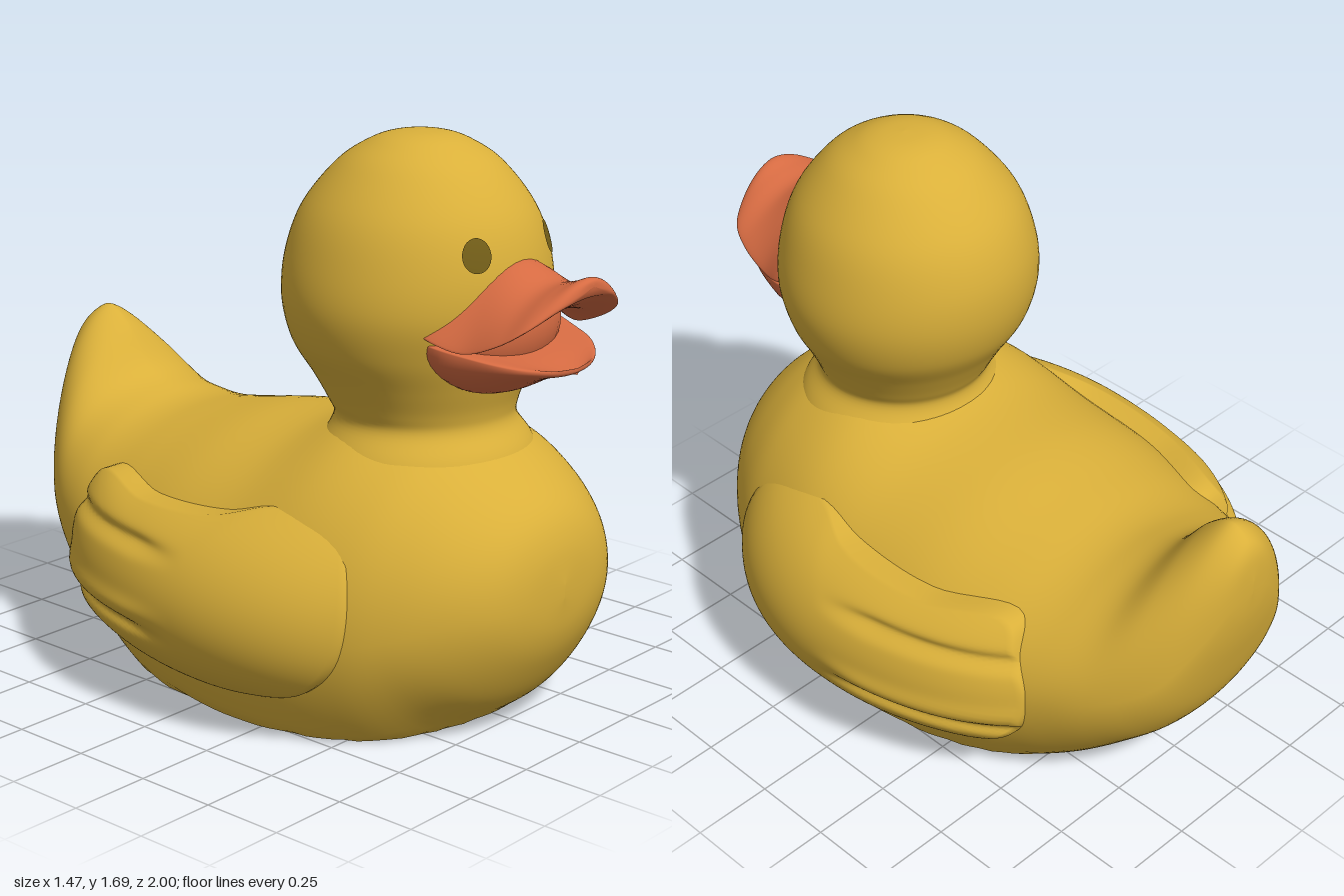
import * as THREE from 'three';

const yellow = new THREE.MeshStandardMaterial({ color: 0xdab03a });
yellow.name = 'yellow';
const orange = new THREE.MeshStandardMaterial({ color: 0xd66b42 });
orange.name = 'orange';
const olive = new THREE.MeshStandardMaterial({ color: 0x735e18 });
olive.name = 'dark olive';

// Smooth interpolation through table rows; t runs from 0 to rows - 1.
function spline(rows, t) {
  const i = Math.min(Math.max(Math.floor(t), 0), rows.length - 2), f = t - i;
  const row = (k) => rows[Math.min(Math.max(k, 0), rows.length - 1)];
  const [a, b, c, d] = [row(i - 1), row(i), row(i + 1), row(i + 2)];
  return b.map((v, k) => v + 0.5 * f * (c[k] - a[k]
    + f * (2 * a[k] - 5 * v + 4 * c[k] - d[k] + f * (3 * (v - c[k]) + d[k] - a[k]))));
}

// Skin of closed rings: point(v, angle) gives [x, y, z]; faces are turned outward.
function skin(name, material, steps, sides, point) {
  const pos = [], index = [];
  for (let i = 0; i <= steps; i++)
    for (let j = 0; j < sides; j++) pos.push(...point(i / steps, (j / sides) * Math.PI * 2));
  for (let i = 0; i < steps; i++)
    for (let j = 0; j < sides; j++) {
      const k = (j + 1) % sides, a = i * sides + j, b = i * sides + k;
      index.push(a, b, a + sides, b, b + sides, a + sides);
    }
  const p = (n) => new THREE.Vector3().fromArray(pos, n * 3);
  let volume = 0;
  for (let i = 0; i < index.length; i += 3)
    volume += p(index[i]).dot(p(index[i + 1]).cross(p(index[i + 2])));
  if (volume < 0) index.reverse();
  const g = new THREE.BufferGeometry();
  g.setAttribute('position', new THREE.Float32BufferAttribute(pos, 3));
  g.setIndex(index);
  g.computeVertexNormals();
  const mesh = new THREE.Mesh(g, material);
  mesh.name = name;
  return mesh;
}

// Body and tail: z, bottom, top, height of widest point, half width, taper of upper part
const BODY = [
  [0.935, 0.42, 0.46, 0.44, 0, 1], [0.92, 0.31, 0.57, 0.43, 0.16, 1],
  [0.88, 0.21, 0.66, 0.42, 0.28, 1], [0.8, 0.09, 0.74, 0.4, 0.39, 1],
  [0.69, 0, 0.82, 0.36, 0.485, 1], [0.55, -0.15, 0.88, 0.33, 0.56, 1],
  [0.35, -0.28, 0.9, 0.31, 0.605, 1], [0.1, -0.3, 0.82, 0.31, 0.62, 1],
  [-0.15, -0.25, 0.79, 0.32, 0.605, 1], [-0.35, -0.18, 0.755, 0.34, 0.56, 1],
  [-0.5, -0.08, 0.735, 0.36, 0.51, 1], [-0.61, 0, 0.75, 0.39, 0.465, 1.1],
  [-0.72, 0.1, 0.8, 0.42, 0.41, 1.25], [-0.82, 0.2, 0.92, 0.46, 0.34, 1.4],
  [-0.9, 0.33, 0.975, 0.52, 0.26, 1.4], [-0.96, 0.52, 0.95, 0.65, 0.16, 1.2],
  [-0.99, 0.66, 0.9, 0.75, 0.08, 1], [-1, 0.77, 0.81, 0.79, 0, 1],
];
function bodyPoint(v, angle) {
  const [z, bottom, top, mid, w, taper] = spline(BODY, v * (BODY.length - 1));
  const c = Math.cos(angle), s = Math.sin(angle);
  const x = w * Math.sign(c) * Math.abs(c) ** (s > 0 ? taper : 1);
  return [x, Math.max(0.004, mid + s * (s > 0 ? top - mid : mid - bottom)), z];
}

// Neck and head: y, centre z, depth radius, width radius
const HEAD = [
  [0.7, 0.4, 0.36, 0.38], [0.8, 0.425, 0.3, 0.32], [0.87, 0.42, 0.265, 0.268],
  [0.92, 0.41, 0.275, 0.28], [1, 0.4, 0.31, 0.32], [1.1, 0.385, 0.355, 0.375],
  [1.22, 0.385, 0.385, 0.4], [1.35, 0.385, 0.38, 0.38], [1.48, 0.387, 0.335, 0.33],
  [1.6, 0.39, 0.24, 0.235], [1.66, 0.39, 0.15, 0.15], [1.685, 0.39, 0.08, 0.08],
  [1.692, 0.39, 0, 0],
];
function headPoint(t, angle, grow = 1) {
  const [y, zc, rz, rx] = spline(HEAD, t);
  return [grow * rx * Math.sin(angle), y, zc + grow * rz * Math.cos(angle)];
}

// Wing outline as (z, y)
const WING = new THREE.CatmullRomCurve3([
  [0.4, 0.67], [0.52, 0.62], [0.585, 0.45], [0.56, 0.28], [0.45, 0.17], [0.25, 0.125],
  [0, 0.12], [-0.3, 0.17], [-0.5, 0.22], [-0.56, 0.28], [-0.575, 0.42], [-0.53, 0.52],
  [-0.48, 0.61], [-0.2, 0.6], [0.1, 0.62], [0.25, 0.66],
].map(([z, y]) => new THREE.Vector3(0, y, z)), true);
const WING_CENTRE = new THREE.Vector3(0, 0.38, 0);

function wingPoint(side, v, angle) {
  const r = Math.min(1, v / 0.9), inset = Math.max(0, v - 0.9) * 1.8;
  const { y, z } = WING.getPoint(angle / (Math.PI * 2)).lerp(WING_CENTRE, 1 - r);
  const dy = (y - 0.35) / 0.44, dz = (z - 0.1) / (z > 0.1 ? 0.8 : 0.95);
  let x = 0.735 * Math.sqrt((1 - dy * dy) * (1 - dz * dz)) - 0.025 * r ** 6 - inset;
  // feather grooves on the rear half
  const fade = THREE.MathUtils.smoothstep(-z, -0.1, 0.15);
  for (const groove of [0.27, 0.51])
    x -= 0.026 * fade * Math.exp(-(((y - groove) / 0.022) ** 2));
  x += 0.012 * fade * Math.exp(-(((y - 0.33) / 0.03) ** 2));
  return [side * x, y, z];
}

// Upper bill: z, half width, edge height, ridge height
const UPPER = [
  [0.6, 0.29, 1.2, 1.35], [0.67, 0.285, 1.17, 1.37], [0.76, 0.26, 1.15, 1.37],
  [0.86, 0.245, 1.185, 1.325], [0.93, 0.215, 1.23, 1.335], [0.975, 0.14, 1.28, 1.352],
  [0.995, 0.07, 1.31, 1.348], [1, 0, 1.33, 1.335],
];
function upperBillPoint(v, angle) {
  const [z, w, edge, top] = spline(UPPER, v * (UPPER.length - 1));
  const s = Math.sin(angle), thick = Math.min(0.02, w * 0.2);
  const arch = (top - edge - thick) * (s > 0 ? 1 : 0.65);
  return [w * Math.cos(angle), edge + arch * s * s + thick * s, z];
}

// Lower bill: z, half width, rim height, keel height
const LOWER = [
  [0.6, 0.27, 1.16, 1.02], [0.68, 0.275, 1.15, 0.985], [0.76, 0.25, 1.135, 1],
  [0.84, 0.215, 1.12, 1.04], [0.9, 0.16, 1.105, 1.065], [0.94, 0.09, 1.095, 1.075],
  [0.955, 0, 1.09, 1.085],
];
function lowerBillPoint(v, angle) {
  const [z, w, rim, keel] = spline(LOWER, v * (LOWER.length - 1));
  const s = Math.sin(angle);
  const y = s > 0 ? rim + 0.03 * s * (1 - 1.5 * s) : rim + (rim - keel) * s;
  return [w * Math.cos(angle), y, z];
}

export function createModel() {
  const duck = new THREE.Group();
  duck.name = 'bathDuck';
  duck.add(skin('bodyAndTail', yellow, 100, 96, bodyPoint));
  duck.add(skin('neckAndHead', yellow, 72, 80, (v, a) => headPoint(v * (HEAD.length - 1), a)));
  for (const [name, side] of [['leftWing', 1], ['rightWing', -1]])
    duck.add(skin(name, yellow, 40, 128, (v, a) => wingPoint(side, v, a)));

  // Bill with the filled mouth between its halves
  duck.add(skin('upperBill', orange, 42, 48, upperBillPoint));
  duck.add(skin('lowerBill', orange, 36, 48, lowerBillPoint));
  const mouth = new THREE.Mesh(new THREE.SphereGeometry(1, 32, 24), orange);
  mouth.name = 'mouth';
  mouth.scale.set(0.25, 0.165, 0.15);
  mouth.position.set(0, 1.175, 0.66);
  duck.add(mouth);

  // Eyes are thin patches following the head
  for (const [name, turn] of [['leftEye', 0.53], ['rightEye', -0.44]])
    duck.add(skin(name, olive, 6, 28, (v, a) =>
      headPoint(7.38 + 0.36 * v * Math.sin(a), turn + 0.12 * v * Math.cos(a), 1.012)));

  // Dark oval on the flat underside
  const base = new THREE.Mesh(new THREE.CircleGeometry(1, 48), olive);
  base.name = 'basePatch';
  base.rotation.x = Math.PI / 2;
  base.scale.set(0.29, 0.59, 1);
  base.position.z = 0.1;
  duck.add(base);
  return duck;
}
